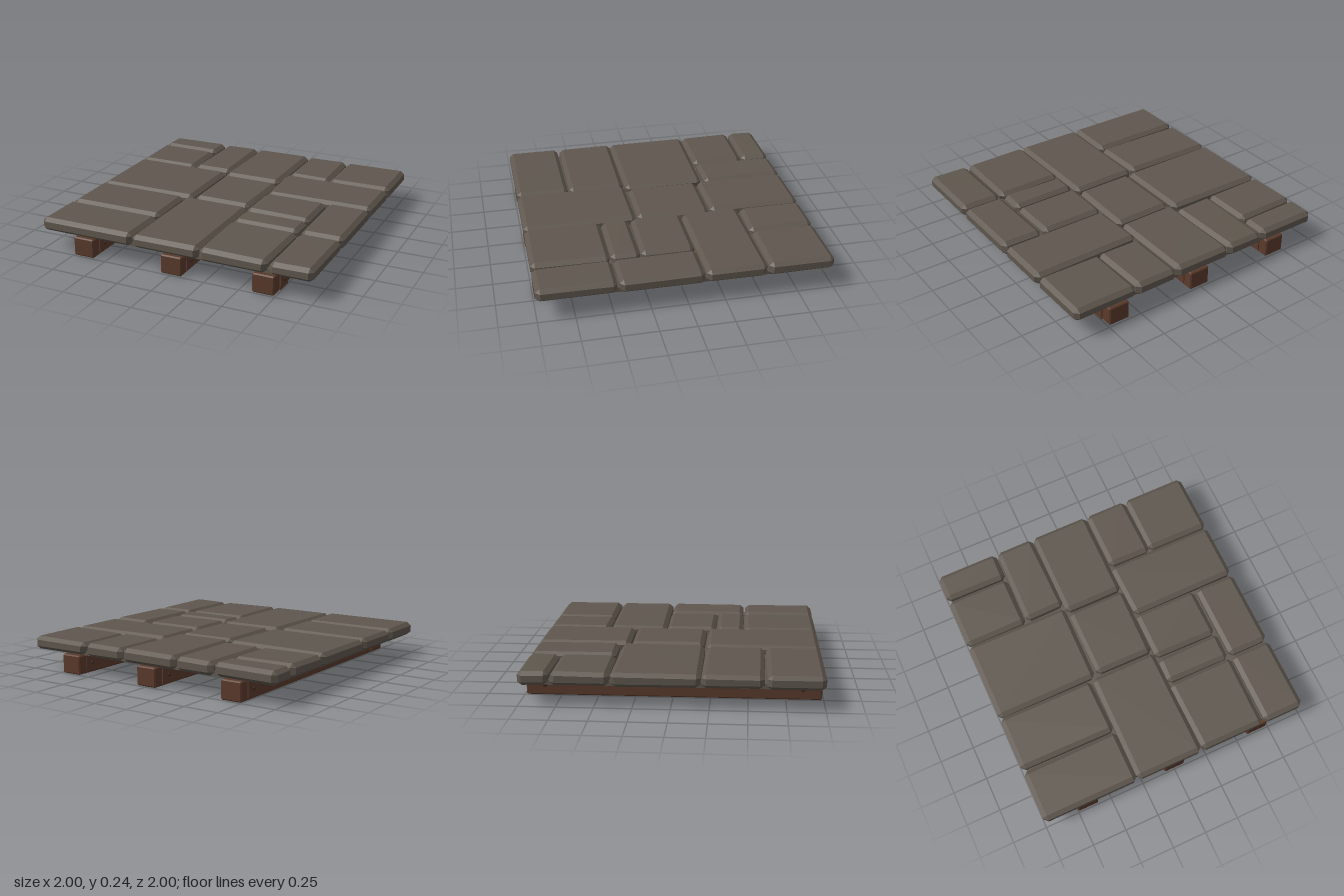
import * as THREE from 'three';
import { ConvexGeometry } from 'three/addons/geometries/ConvexGeometry.js';

let seed = 7;
const jitter = (amount) => {
  seed = (seed * 16807) % 2147483647;
  return (seed / 2147483647 - 0.5) * 2 * amount;
};

// Box with cut edges and corners; wobble shifts each corner a little
function bevelledBox(min, max, bevel, wobble = [0, 0, 0]) {
  const points = [];
  for (const sx of [0, 1]) for (const sy of [0, 1]) for (const sz of [0, 1]) {
    const s = [sx, sy, sz];
    const corner = s.map((k, i) => {
      const outer = Math.abs(k ? max[i] : min[i]) > 0.99;
      return (k ? max[i] : min[i]) + (outer ? 0 : jitter(wobble[i]));
    });
    for (let axis = 0; axis < 3; axis++) {
      // each corner gives one point on each of its three faces
      points.push(new THREE.Vector3(...corner.map((c, i) =>
        i === axis ? c : c + (s[i] ? -bevel[i] : bevel[i]))));
    }
  }
  return new ConvexGeometry(points);
}

// Paving stones: x from, x to, z from, z to
const STONES = [
  [-1, -0.54, -1, -0.795], [-1, -0.54, -0.785, -0.4],
  [-0.53, -0.24, -1, -0.41], [-0.235, 0.2, -1, -0.345],
  [0.205, 0.53, -1, -0.55], [0.535, 1, -1, -0.545],
  [0.205, 1, -0.535, -0.125], [-1, -0.25, -0.39, 0.19],
  [-0.23, 0.2, -0.335, 0.185], [0.205, 0.68, -0.115, 0.25],
  [0.695, 1, -0.115, 0.46], [0.205, 0.685, 0.265, 0.46],
  [-1, -0.3, 0.2, 0.61], [-1, -0.3, 0.62, 1],
  [-0.29, 0.2, 0.2, 1], [0.205, 0.685, 0.47, 1],
  [0.7, 1, 0.47, 1],
];

export function createModel() {
  const material = (name, color) => {
    const m = new THREE.MeshStandardMaterial({ color, flatShading: true });
    m.name = name;
    return m;
  };
  const stone = material('stone', 0x5f574e);
  const wood = material('wood', 0x5a3a2b);
  const iron = material('darkIron', 0x3b2a23);

  const model = new THREE.Group();
  model.name = 'pavedFloor';
  const add = (parent, name, geometry, mat, x = 0, y = 0, z = 0) => {
    const mesh = new THREE.Mesh(geometry, mat);
    mesh.name = name;
    mesh.position.set(x, y, z);
    parent.add(mesh);
    return mesh;
  };

  // Stones on a thin bed that closes the joints
  const paving = new THREE.Group();
  paving.name = 'paving';
  model.add(paving);
  STONES.forEach(([x0, x1, z0, z1], i) => add(paving, `stone${i + 1}`,
    bevelledBox([x0, 0.141, z0], [x1, 0.234, z1], [0.03, 0.024, 0.03], [0.006, 0.003, 0.006]), stone));
  add(paving, 'bed', new THREE.BoxGeometry(1.93, 0.035, 1.93), stone, 0, 0.158, 0);

  // Three beams, each with bolted plates near both ends on both sides
  [[-0.67, -0.67], [0, 0.004], [0.67, 0.663]].forEach(([plateX, beamX], i) => {
    const support = new THREE.Group();
    support.name = `support${i + 1}`;
    model.add(support);
    add(support, 'beam', bevelledBox([beamX - 0.077, 0, -0.99], [beamX + 0.077, 0.134, 0.99],
      [0.008, 0.008, 0.008]), wood);
    for (const side of [-1, 1]) for (const end of [-1, 1]) {
      add(support, 'plate', new THREE.BoxGeometry(0.008, 0.108, 0.12), wood,
        plateX + side * 0.084, 0.071, end * 0.862);
      const bolt = add(support, 'bolt', new THREE.CylinderGeometry(0.008, 0.015, 0.012, 8), iron,
        plateX + side * 0.092, 0.071, end * 0.862);
      bolt.rotation.z = -side * Math.PI / 2;
    }
  });
  return model;
}
